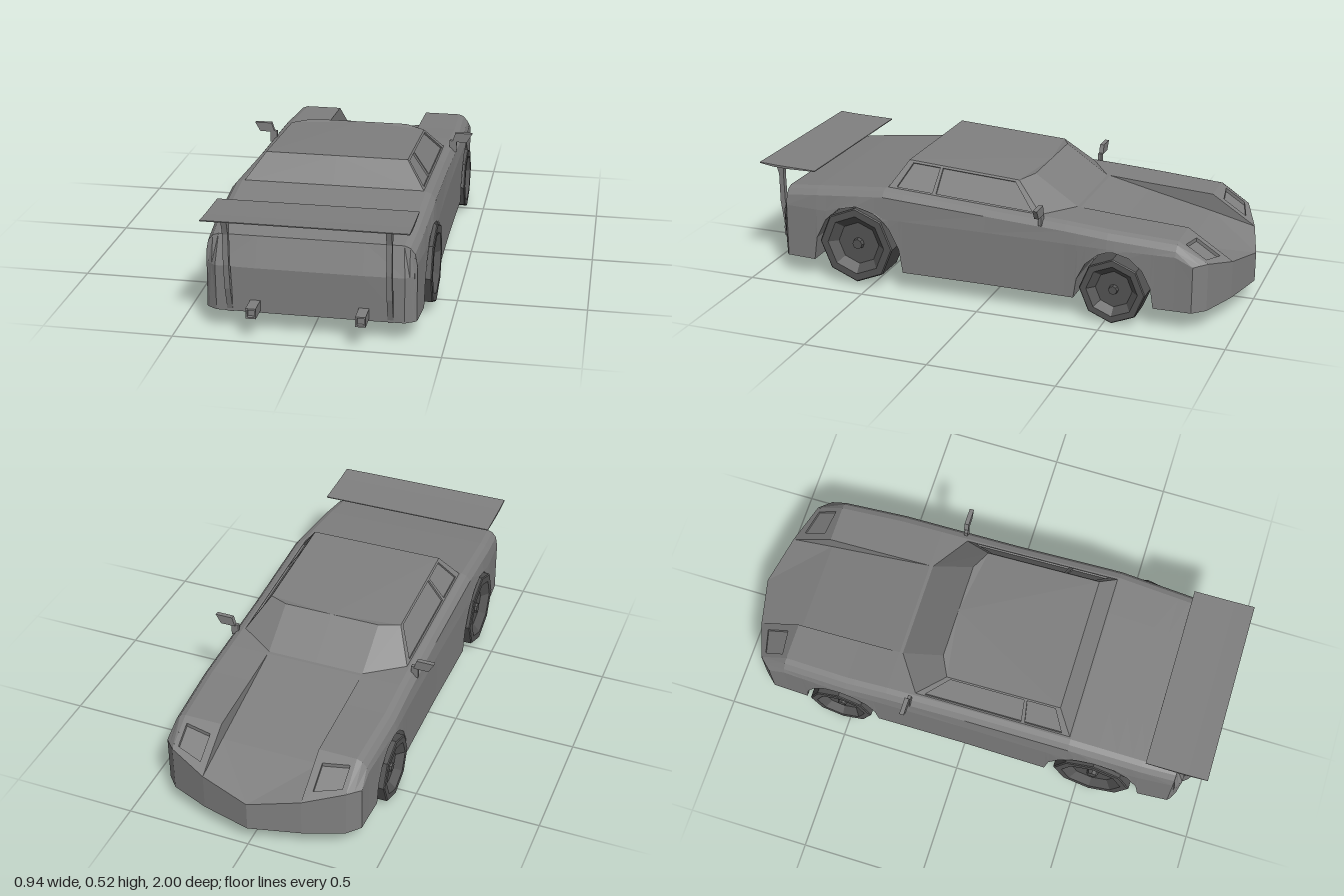
import * as THREE from 'three';
import { mergeGeometries } from 'three/addons/utils/BufferGeometryUtils.js';

const V = (x, y, z) => new THREE.Vector3(x, y, z);
const paint = new THREE.MeshStandardMaterial({ color: 0x808080, flatShading: true });
const rubber = new THREE.MeshStandardMaterial({ color: 0x555555, flatShading: true });

// Triangle soup from a list of convex polygons (counter-clockwise corners)
function fromPolygons(polygons) {
  const pts = [];
  for (const p of polygons)
    for (let i = 1; i < p.length - 1; i++) pts.push(p[0], p[i], p[i + 1]);
  const g = new THREE.BufferGeometry().setFromPoints(pts);
  g.computeVertexNormals();
  return g;
}

// Plain copy holding positions and normals only
function plain(geo) {
  const g = geo.index ? geo.toNonIndexed() : geo.clone();
  g.deleteAttribute('uv');
  g.clearGroups();
  g.computeVertexNormals();
  return g;
}

// Copy reflected in x, with the winding put right again
function mirrored(geo) {
  const g = plain(geo), p = g.attributes.position;
  for (let i = 0; i < p.count; i += 3) {
    const t = [0, 2, 1].map(k => V().fromBufferAttribute(p, i + k));
    t.forEach((v, k) => p.setXYZ(i + k, -v.x, v.y, v.z));
  }
  g.computeVertexNormals();
  return g;
}
const bothSides = geo => mergeGeometries([plain(geo), mirrored(geo)]);

const toShape = pts => new THREE.Shape(pts.map(([a, b]) => new THREE.Vector2(a, b)));
const rect = (a, b, c, d) => [[a, b], [c, b], [c, d], [a, d]];

// Side profile of (z, y) points extruded from x0 to x1
function extrudeX(pts, x0, x1) {
  const g = new THREE.ExtrudeGeometry(toShape(pts.map(([z, y]) => [-z, y])),
    { depth: x1 - x0, bevelEnabled: false });
  return g.rotateY(Math.PI / 2).translate(x0, 0, 0);
}

// Body along the car: z, hood centre y, fender y, widest x
const keys = [
  [-0.77, 0.277, 0.35, 0.402], [-0.5, 0.338, 0.366, 0.413], [-0.33, 0.378, 0.378, 0.41],
  [0.0, 0.395, 0.395, 0.408], [0.44, 0.42, 0.42, 0.412], [0.74, 0.39, 0.39, 0.404], [0.88, 0.373, 0.373, 0.394],
];
function sample(z) {
  let i = 0;
  while (i < keys.length - 2 && z > keys[i + 1][0]) i++;
  const t = (z - keys[i][0]) / (keys[i + 1][0] - keys[i][0]);
  return keys[i].map((v, k) => v + (keys[i + 1][k] - v) * t);
}
const FLOOR = 0.08, WELL = 0.18;
const arches = [{ z: -0.53, w: 0.16, h: 0.21 }, { z: 0.555, w: 0.2, h: 0.258 }];
function archHeight(z) {
  for (const a of arches) {
    const t = (z - a.z) / a.w;
    if (Math.abs(t) < 1) return FLOOR + a.h * Math.sqrt(1 - t * t);
  }
  return FLOOR;
}

// Half body: cross-sections with wheel wells, lofted from nose to tail
function bodyGeometry() {
  const zs = keys.map(k => k[0]);
  for (const a of arches)
    for (let i = 0; i <= 8; i++) zs.push(a.z - a.w * Math.cos(i * Math.PI / 8));
  zs.sort((a, b) => a - b);
  const section = z => {
    const [, yc, yf, xw] = sample(z), ya = archHeight(z);
    return [[0, yc], [0.2, yc], [0.2, yf], [xw - 0.05, yf], [xw - 0.028, yf - 0.008], [xw - 0.01, yf - 0.03],
      [xw - 0.002, Math.max(0.3, ya + 0.003)], [xw, ya], [WELL, ya], [WELL, FLOOR], [0, FLOOR]]
      .map(([x, y]) => V(x, y, z));
  };
  const nose = [[0, 0.2, -1], [0.2, 0.233, -0.95], [0.2, 0.233, -0.95], [0.355, 0.273, -0.889],
    [0.378, 0.271, -0.864], [0.4, 0.268, -0.84], [0.4, 0.2, -0.84], [0.4, FLOOR, -0.84],
    [0.355, FLOOR, -0.889], [0.2, FLOOR, -0.95], [0, FLOOR, -1]].map(p => V(...p));
  const tail = [[0, 0.26, 0.918], [0.2, 0.26, 0.918], [0.2, 0.26, 0.918], [0.352, 0.26, 0.914],
    [0.368, 0.26, 0.902], [0.384, 0.26, 0.89], [0.384, 0.2, 0.89], [0.384, FLOOR, 0.89],
    [0.352, FLOOR, 0.908], [0.2, FLOOR, 0.91], [0, FLOOR, 0.91]].map(p => V(...p));
  const rows = [nose, ...zs.map(section), tail], polys = [];
  for (let i = 0; i < rows.length - 1; i++)
    for (let j = 0; j < 10; j++) {
      if (i === 0 && j === 2) continue; // left open for the headlight panel
      polys.push([rows[i][j], rows[i + 1][j], rows[i + 1][j + 1], rows[i][j + 1]]);
    }
  // Nose and tail faces
  const pairs = [[0, 10], [2, 9], [3, 8], [4, 8], [5, 7]];
  for (let k = 0; k < pairs.length - 1; k++) {
    const [t0, b0] = pairs[k], [t1, b1] = pairs[k + 1];
    polys.push([nose[t1], nose[b1], nose[b0], nose[t0]]);
    polys.push([tail[t0], tail[b0], tail[b1], tail[t1]]);
  }
  return fromPolygons(polys);
}

// Cabin corners on the +x side
const base = [V(0, 0.373, -0.325), V(0.2, 0.373, -0.325), V(0.357, 0.373, -0.225), V(0.36, 0.41, 0.44), V(0, 0.41, 0.44)];
const roof = [V(0, 0.497, -0.14), V(0.2, 0.497, -0.14), V(0.28, 0.49, -0.1), V(0.28, 0.52, 0.37), V(0, 0.52, 0.37)];

// Point on the cabin side: u runs rear to front, v upwards, d outwards
function sidePoint(u, v, d) {
  const low = base[3].clone().lerp(base[2], u), high = roof[3].clone().lerp(roof[2], u);
  return low.lerp(high, v).add(V(0.8 * d, 0.6 * d, 0));
}
function mapVertices(geo, fn) {
  const p = geo.attributes.position;
  for (let i = 0; i < p.count; i++) {
    const v = fn(p.getX(i), p.getY(i), p.getZ(i));
    p.setXYZ(i, v.x, v.y, v.z);
  }
  return geo;
}

function sideFrame() {
  const s = toShape(rect(0, 0, 1, 1));
  s.holes.push(toShape(rect(0.05, 0.14, 0.29, 0.93)), toShape(rect(0.315, 0.14, 0.95, 0.93)));
  const g = new THREE.ExtrudeGeometry(s, { depth: 0.008, bevelEnabled: false });
  return mapVertices(g, (u, v, d) => sidePoint(u, v, d - 0.008));
}

// Sloped fender front: a is the distance ahead of centre, d the height above the panel
const slopePoint = (x, a, d) => V(x, 0.35 + 0.65 * (0.77 - a) + d, -a);
const lampOutline = [[0.23, 0.81], [0.335, 0.795], [0.335, 0.875], [0.23, 0.905]];
function headlightPanel() {
  const s = toShape([[0.2, 0.77], [0.352, 0.77], [0.355, 0.889], [0.2, 0.95]]);
  s.holes.push(toShape(lampOutline));
  const g = new THREE.ExtrudeGeometry(s, { depth: 0.018, bevelEnabled: false });
  return mapVertices(g, (x, a, d) => slopePoint(x, a, d - 0.018));
}

// Eight-sided wheel with dished rim and hub, axle along x
function wheelGeometry(r, width) {
  const w = width / 2;
  const profile = [[0, -w], [r, -w], [r, w - 0.004], [r * 0.97, w], [r * 0.78, w],
    [r * 0.56, w - 0.03], [r * 0.15, w - 0.03], [r * 0.13, w - 0.014], [0, w - 0.014]];
  return new THREE.LatheGeometry(profile.map(p => new THREE.Vector2(...p)), 8).rotateZ(-Math.PI / 2);
}

export function createModel() {
  const car = new THREE.Group();
  car.name = 'sportsCar';
  const add = (name, geo, material = paint) => {
    const m = new THREE.Mesh(geo, material);
    m.name = name;
    car.add(m);
  };

  add('body', bothSides(bodyGeometry()));
  add('headlightPanels', bothSides(headlightPanel()));
  add('headlights', bothSides(fromPolygons([lampOutline.map(([x, a]) => slopePoint(x, a, -0.015))])));

  // Cabin
  add('windshield', bothSides(fromPolygons([0, 1].map(i => [base[i], roof[i], roof[i + 1], base[i + 1]]))));
  add('roof', bothSides(fromPolygons([[roof[0], roof[4], roof[3], roof[2], roof[1]]])));
  add('rearWindow', bothSides(fromPolygons([[base[3], roof[3], roof[4], base[4]]])));
  add('windowFrames', bothSides(sideFrame()));
  add('sideWindows', bothSides(fromPolygons([
    rect(0, 0, 1, 1).map(([u, v]) => sidePoint(u, v, -0.007))])));

  // Door mirrors on short stems
  const mirrorHead = new THREE.ExtrudeGeometry(
    toShape([[0.385, 0.402], [0.447, 0.402], [0.469, 0.441], [0.397, 0.441]]), { depth: 0.018, bevelEnabled: false });
  add('doorMirrors', bothSides(mirrorHead.translate(0, 0, -0.24)));
  add('mirrorStems', bothSides(new THREE.BoxGeometry(0.03, 0.05, 0.014).translate(0.388, 0.382, -0.228)));

  // Rear wing on curved posts
  add('rearWing', extrudeX([[1, 0.468], [0.92, 0.463], [0.75, 0.458], [0.75, 0.454], [0.88, 0.452], [0.94, 0.455], [1, 0.464]], -0.38, 0.38));
  add('wingPosts', bothSides(extrudeX([[0.97, 0.458], [0.952, 0.4], [0.952, 0.28], [0.938, 0.18], [0.905, 0.076],
    [0.885, 0.076], [0.915, 0.18], [0.93, 0.28], [0.932, 0.4], [0.925, 0.458]], 0.29, 0.311)));

  // Square tailpipes with a shallow opening
  const pipe = toShape(rect(0.184, 0.09, 0.222, 0.13));
  pipe.holes.push(toShape(rect(0.19, 0.096, 0.216, 0.124)));
  add('tailpipes', bothSides(new THREE.ExtrudeGeometry(pipe, { depth: 0.1, bevelEnabled: false }).translate(0, 0, 0.89)));
  add('tailpipeCores', bothSides(new THREE.BoxGeometry(0.03, 0.032, 0.08).translate(0.203, 0.11, 0.935)));

  // Wheels
  add('frontWheels', bothSides(wheelGeometry(0.133, 0.124).translate(0.362, 0.133, -0.53)), rubber);
  add('rearWheels', bothSides(wheelGeometry(0.16, 0.145).translate(0.352, 0.176, 0.555)), rubber);

  return car;
}
